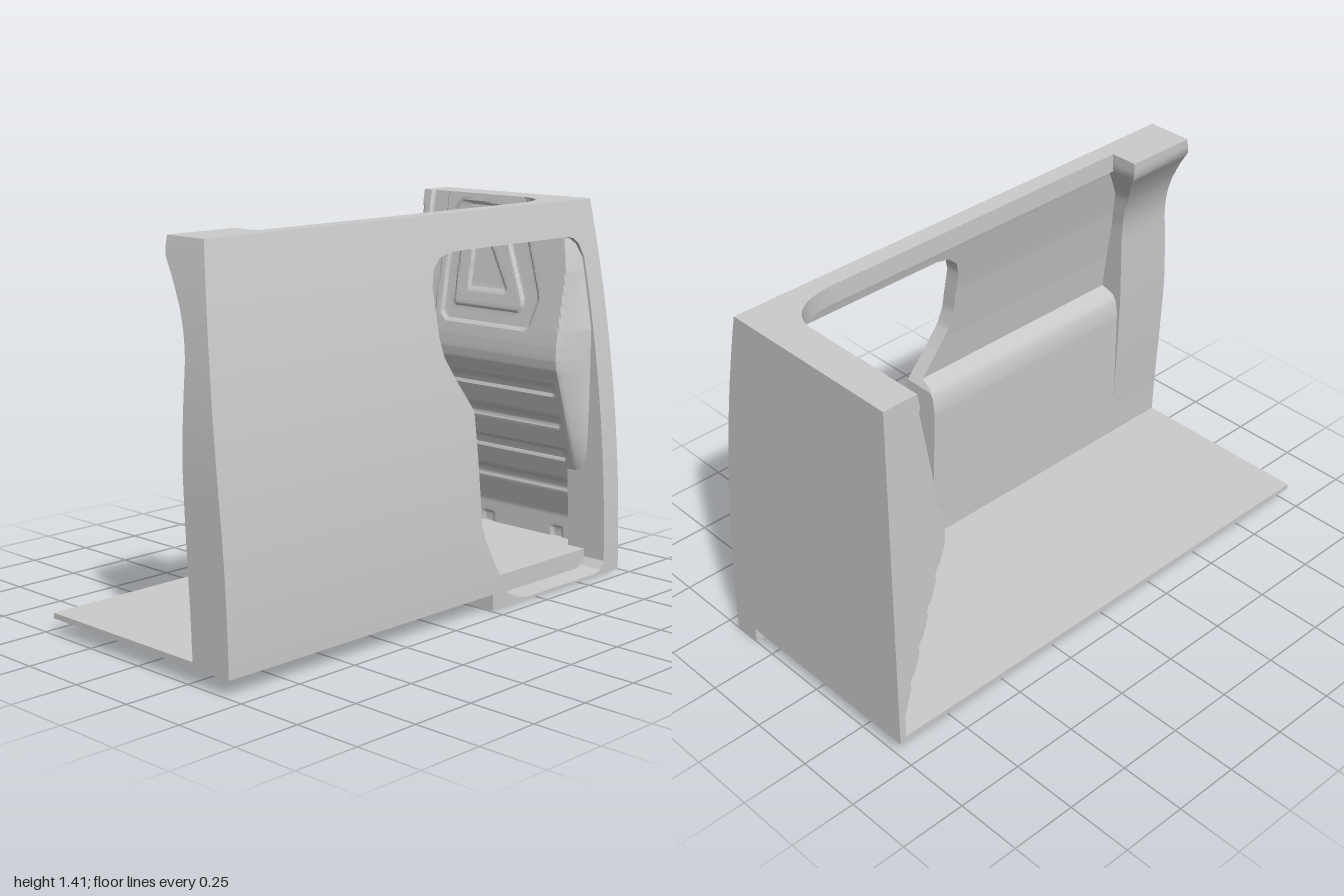
import * as THREE from 'three';
import { toCreasedNormals } from 'three/addons/utils/BufferGeometryUtils.js';

const H = 1.41;
const material = new THREE.MeshStandardMaterial({ color: 0xcccccc });
const clamp01 = v => Math.min(1, Math.max(0, v));

// piecewise linear lookup through [key, value] pairs
function lookup(table, k) {
  if (k <= table[0][0]) return table[0][1];
  for (let i = 1; i < table.length; i++) {
    const [k0, v0] = table[i - 1], [k1, v1] = table[i];
    if (k <= k1) return v0 + (v1 - v0) * (k - k0) / (k1 - k0);
  }
  return table[table.length - 1][1];
}

// closed solid through rings of [x, y, z], stacked upwards, anticlockwise from above
function loft(rings, crease = 0.5) {
  const n = rings[0].length, pos = rings.flat(2), index = [];
  for (let i = 0; i + 1 < rings.length; i++)
    for (let j = 0; j < n; j++) {
      const a = i * n + j, b = i * n + (j + 1) % n;
      index.push(a, b, b + n, a, b + n, a + n);
    }
  const top = (rings.length - 1) * n, hub = rings.length * n;
  for (const ring of [rings[0], rings[rings.length - 1]])
    pos.push(...[0, 1, 2].map(c => ring.reduce((s, p) => s + p[c], 0) / n));
  for (let j = 0; j < n; j++) {
    const k = (j + 1) % n;
    index.push(hub, k, j, hub + 1, top + j, top + k);
  }
  const g = new THREE.BufferGeometry();
  g.setAttribute('position', new THREE.Float32BufferAttribute(pos, 3));
  g.setIndex(index);
  return toCreasedNormals(g, crease);
}

const rect = (y, x0, x1, z0, z1) => [[x0, y, z0], [x0, y, z1], [x1, y, z1], [x1, y, z0]];

// side shell: curved outer skin, leaning front edge, inner lining with a ledge
const outerX = y => 0.445 - 0.177 * (y / H) ** 2;
const frontZ = y => 1 - 0.08 * (Math.max(0, y - 0.6) / 0.81) ** 2;
const lining = [[0, 0.35], [0.0599, 0.35], [0.06, 0.275], [0.3, 0.265], [0.66, 0.255], [0.71, 0.262],
  [0.74, 0.28], [0.755, 0.335], [0.9, 0.315], [1.1, 0.28], [1.3, 0.235], [1.339, 0.225], [1.34, 0.2], [H, 0.2]];

// doorway edges as z against height
const doorFront = [[0.0099, -0.5], [0.01, -0.45], [0.016, -0.4], [0.05, -0.34], [0.12, -0.3], [0.26, -0.225],
  [0.33, -0.205], [0.73, -0.2], [0.85, -0.12], [0.93, -0.075], [1, -0.06], [1.17, -0.06],
  [1.23, -0.08], [1.265, -0.12], [1.28, -0.18], [1.2801, -0.5]];
const doorRear = [[0.0099, -0.5], [0.01, -0.86], [0.02, -0.89], [0.05, -0.91], [1.2, -0.91],
  [1.25, -0.89], [1.272, -0.865], [1.28, -0.83], [1.2801, -0.5]];

// bulkhead front face: z against height
const bulge = [[0.06, -0.975], [0.17, -0.975], [0.3, -0.935], [0.74, -0.798], [0.78, -0.783],
  [0.82, -0.777], [0.87, -0.779], [0.93, -0.787], [H, -0.868]];

// pressed panels, corners clockwise
const frames = [
  [-1, [[-0.29, 0.945], [-0.29, 1.345], [-0.25, 1.385], [0.03, 1.37], [0.07, 1.34], [0.185, 1.06], [0.19, 1.03], [0.16, 0.93], [0.14, 0.915], [-0.26, 0.915]]],
  [1, [[-0.235, 0.99], [-0.235, 1.3], [-0.22, 1.315], [-0.04, 1.315], [-0.01, 1.295], [0.115, 1.03], [0.115, 1], [0.095, 0.975], [-0.22, 0.975]]],
  [-1, [[-0.168, 1.045], [-0.168, 1.25], [-0.1, 1.247], [-0.08, 1.235], [0.03, 1.06], [0.025, 1.045]]],
];
const bar = (x0, x1, y0, y1, r) => [[x0, y0 + r], [x0, y1 - r], [x0 + r, y1], [x1 - r, y1], [x1, y1 - r], [x1, y0 + r], [x1 - r, y0], [x0 + r, y0]];
const pressings = [
  ...frames,
  ...[0.305, 0.437, 0.568, 0.698].map(y => [-1, bar(-0.302, 0.27, y - 0.026, y + 0.026, 0.012)]),
  ...[-0.187, 0.165].map(x => [-1, bar(x - 0.032, x + 0.032, 0.07, 0.125, 0.01)]),
];

// distance inside a convex outline (negative outside)
function inside(outline, x, y) {
  let d = Infinity;
  outline.forEach(([ax, ay], i) => {
    const [bx, by] = outline[(i + 1) % outline.length];
    const ex = bx - ax, ey = by - ay;
    d = Math.min(d, ((x - ax) * ey - (y - ay) * ex) / Math.hypot(ex, ey));
  });
  return d;
}

function bulkheadZ(x, y, xEnd) {
  const fromGroove = Math.abs(x + 0.365), mx = fromGroove - 0.365;
  let z = lookup(bulge, y) - 0.012 * clamp01((0.047 - fromGroove) / 0.009);
  for (const [sign, outline] of pressings)
    z += sign * 0.009 * clamp01(inside(outline, mx, y) / 0.012);
  // side of the bulge falls away towards the doorway
  const start = Math.min(0.3, xEnd - 0.02), t = clamp01((x - start) / (xEnd - start));
  return z + (Math.min(z, -0.915) - z) * t;
}

function bulkheadGeometry() {
  const rings = [], rows = 190, cols = 114;
  for (let i = 0; i <= rows; i++) {
    const y = 0.06 + (H - 0.06) * i / rows, xEnd = Math.min(0.36, outerX(y) - 0.008);
    const ring = [[-0.45, y, -1]];
    for (let j = 0; j <= cols; j++) {
      const x = -0.45 + (xEnd + 0.45) * j / cols;
      ring.push([x, y, bulkheadZ(x, y, xEnd)]);
    }
    ring.push([xEnd, y, -1]);
    rings.push(ring);
  }
  return loft(rings, 0.4);
}

export function createModel() {
  const model = new THREE.Group();
  const add = (name, geometry, x = 0, y = 0, z = 0) => {
    const mesh = new THREE.Mesh(geometry, material);
    mesh.name = name;
    mesh.position.set(x, y, z);
    model.add(mesh);
    return mesh;
  };

  // floor and the riser of the step well
  add('floor', new THREE.BoxGeometry(0.8, 0.02, 2), -0.05, 0.07, 0);
  add('stepRiser', new THREE.BoxGeometry(0.01, 0.07, 0.74), 0.345, 0.035, -0.63);

  // rows follow every bend of the wall
  const keys = [lining, doorFront, doorRear].flatMap(t => t.map(p => p[0]));
  for (let i = 0; i <= 40; i++) keys.push(H * i / 40);
  const heights = [...new Set(keys)].sort((a, b) => a - b);
  add('sideWallFront', loft(heights.map(y =>
    rect(y, lookup(lining, y), outerX(y), lookup(doorFront, y), y < 0.06 ? -0.26 : frontZ(y)))));
  add('sideWallRear', loft(heights.map(y =>
    rect(y, lookup(lining, y), outerX(y), -1, lookup(doorRear, y)))));

  // front pillar, widening towards the roof
  const pillarX = [[0.08, 0.277], [0.45, 0.254], [0.72, 0.24], [1.02, 0.237], [1.08, 0.23], [1.14, 0.214],
    [1.2, 0.19], [1.28, 0.145], [1.35, 0.097], [1.36, 0.094], [H, 0.094]];
  const pillarZ = [[0.08, 0.76], [1.05, 0.74], [1.2, 0.72], [1.35, 0.64], [H, 0.64]];
  const pillarRows = [];
  for (let i = 0; i <= 44; i++) {
    const y = 0.06 + (H - 0.06) * i / 44;
    pillarRows.push(rect(y, lookup(pillarX, y), outerX(y) - 0.01, lookup(pillarZ, y), frontZ(y) - 0.0005));
  }
  add('frontPillar', loft(pillarRows));

  // rear bulkhead with pressed panels
  add('bulkhead', bulkheadGeometry());

  // rounded roof corner between bulkhead and side rail
  const corner = new THREE.Shape();
  corner.moveTo(0.03, 0.95);
  corner.lineTo(0.03, 0.87);
  corner.bezierCurveTo(0.15, 0.87, 0.2, 0.78, 0.2, 0.65);
  corner.lineTo(0.24, 0.65);
  corner.lineTo(0.24, 0.95);
  const cornerGeometry = new THREE.ExtrudeGeometry(corner, { depth: 0.07, bevelEnabled: false, curveSegments: 12 });
  add('roofCorner', toCreasedNormals(cornerGeometry, 0.5), 0, H - 0.07, 0).rotation.x = -Math.PI / 2;

  return model;
}
